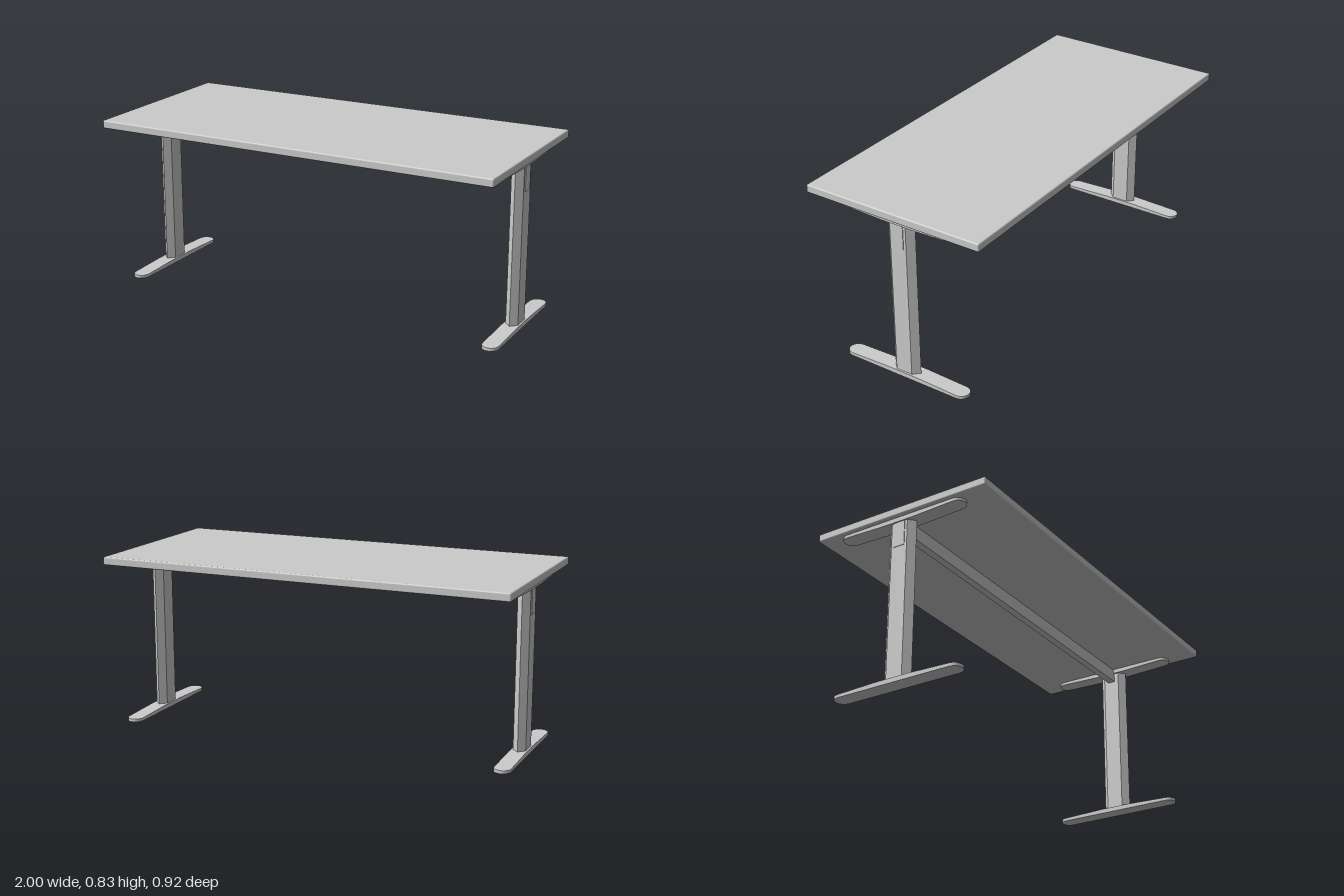
import * as THREE from 'three';
import { toCreasedNormals } from 'three/addons/utils/BufferGeometryUtils.js';
import { RoundedBoxGeometry } from 'three/addons/geometries/RoundedBoxGeometry.js';

const material = new THREE.MeshStandardMaterial({ color: 0xcccccc });

function part(name, geometry, x, y, z, parent) {
  const mesh = new THREE.Mesh(geometry, material);
  mesh.name = name;
  mesh.position.set(x, y, z);
  parent.add(mesh);
  return mesh;
}

// Long bar with half-round ends, flat below, swelling slightly at the middle
function barGeometry(halfLength, radius, midHeight, endHeight) {
  const straight = halfLength - radius;
  const half = [[0.08, radius], [0.18, radius]];
  for (const degrees of [0, 22.5, 45, 67.5, 86]) {
    const a = THREE.MathUtils.degToRad(degrees);
    half.push([straight + radius * Math.sin(a), radius * Math.cos(a)]);
  }
  const stations = [...half.map(([z, w]) => [-z, w]).reverse(), ...half];
  const n = stations.length - 1;
  const geometry = new THREE.BoxGeometry(1, 1, 1, 1, 1, n);
  const p = geometry.attributes.position;
  for (let i = 0; i < p.count; i++) {
    const [z, w] = stations[Math.round((p.getZ(i) + 0.5) * n)];
    const t = THREE.MathUtils.clamp((Math.abs(z) - 0.08) / (straight - 0.08), 0, 1);
    const height = THREE.MathUtils.lerp(midHeight, endHeight, t);
    p.setXYZ(i, Math.sign(p.getX(i)) * w, p.getY(i) > 0 ? height : 0, z);
  }
  return toCreasedNormals(geometry, 0.5);
}

// Upright post: flat sides with a pointed front and back
function columnGeometry(width, depth, height) {
  const w = width / 2, d = depth / 2, flat = d - w;
  const shape = new THREE.Shape([
    [0, -d], [w, -flat], [w, flat], [0, d], [-w, flat], [-w, -flat],
  ].map(([x, y]) => new THREE.Vector2(x, y)));
  return new THREE.ExtrudeGeometry(shape, { depth: height, bevelEnabled: false }).rotateX(-Math.PI / 2);
}

export function createModel() {
  const model = new THREE.Group();
  model.name = 'table';
  const table = new THREE.Group();
  table.name = 'tableAssembly';
  table.rotation.y = -0.009; // the table stands very slightly turned
  model.add(table);

  const legX = 0.936, legZ = -0.016;
  part('tableTop', new RoundedBoxGeometry(1.992, 0.039, 0.902, 3, 0.007), 0, 0.8125, 0, table);
  part('crossBeam', new THREE.BoxGeometry(1.82, 0.066, 0.036), 0, 0.76, legZ, table);

  // Legs: foot, column, top support and outer cover plate
  const bar = barGeometry(0.3275, 0.039, 0.022, 0.015);
  const column = columnGeometry(0.06, 0.142, 0.757);
  for (const side of [-1, 1]) {
    const leg = new THREE.Group();
    leg.name = side > 0 ? 'leftLeg' : 'rightLeg';
    leg.position.set(side * legX, 0, legZ);
    table.add(leg);
    part('foot', bar, 0, 0, 0, leg);
    part('column', column, 0, 0.018, 0, leg);
    part('topSupport', bar, 0, 0.794, 0, leg).rotation.z = Math.PI;
    part('coverPlate', new THREE.BoxGeometry(0.006, 0.122, 0.057), side * 0.03, 0.713, 0, leg);
  }
  return model;
}
